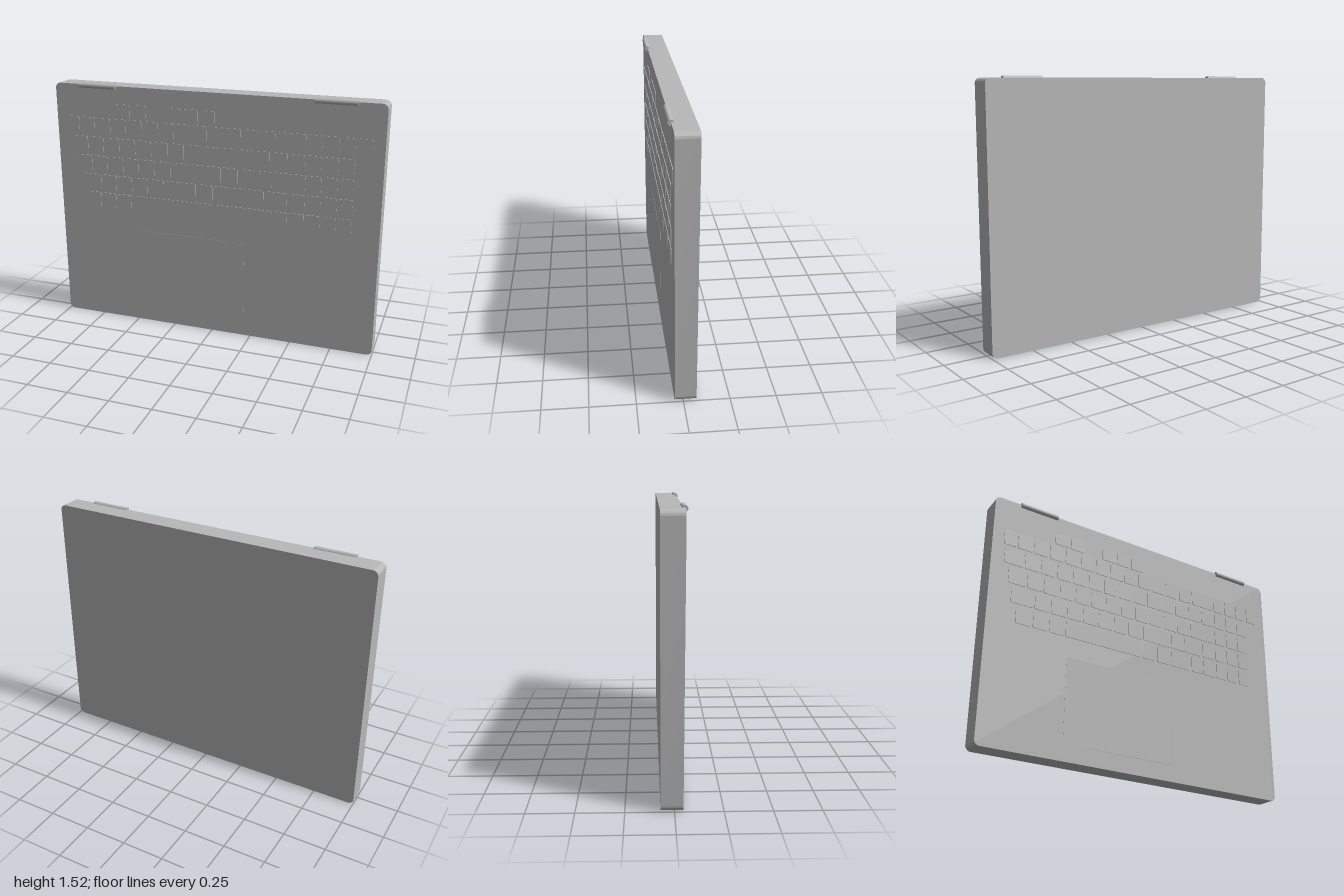
import * as THREE from 'three';
import { toCreasedNormals } from 'three/addons/utils/BufferGeometryUtils.js';

const metal = new THREE.MeshStandardMaterial({ color: 0xb8b8b8 });
metal.name = 'grey metal';

const TOP = 1.507, BACK = -0.07, FRONT_LOW = 0.045, FRONT_HIGH = 0.055;

function roundedRect(x0, y0, x1, y1, r) {
  const s = new THREE.Shape();
  s.absarc(x1 - r, y0 + r, r, -Math.PI / 2, 0);
  s.absarc(x1 - r, y1 - r, r, 0, Math.PI / 2);
  s.absarc(x0 + r, y1 - r, r, Math.PI / 2, Math.PI);
  s.absarc(x0 + r, y0 + r, r, Math.PI, Math.PI * 1.5);
  s.closePath();
  return s;
}

function slab(name, x0, y0, x1, y1, r, depth, segments) {
  const g = new THREE.ExtrudeGeometry(roundedRect(x0, y0, x1, y1, r),
    { depth, bevelEnabled: false, curveSegments: segments });
  const mesh = new THREE.Mesh(toCreasedNormals(g, 0.6), metal);
  mesh.name = name;
  return mesh;
}

// Evenly spaced key boundaries
const steps = (from, to, n) => Array.from({ length: n + 1 }, (_, i) => from + (to - from) * i / n);

export function createModel() {
  const model = new THREE.Group();
  model.name = 'laptopBase';

  // Body: rounded slab whose front face leans slightly forward at the top
  const body = slab('body', -1, 0, 1, TOP, 0.032, 1, 10);
  const p = body.geometry.attributes.position;
  for (let i = 0; i < p.count; i++) {
    const front = FRONT_LOW + (FRONT_HIGH - FRONT_LOW) * p.getY(i) / TOP;
    p.setZ(i, p.getZ(i) > 0.5 ? front : BACK);
  }
  body.geometry = toCreasedNormals(body.geometry, 0.6);
  model.add(body);

  // Deck: everything lying on the leaning front face
  const deck = new THREE.Group();
  deck.name = 'deck';
  deck.position.z = FRONT_LOW;
  deck.rotation.x = Math.atan((FRONT_HIGH - FRONT_LOW) / TOP);
  model.add(deck);

  // Keyboard: each run lists the boundaries between neighbouring keys
  const numpad = [0.568, 0.66, 0.753, 0.845];
  const rows = [
    { y0: 1.32, y1: 1.4, runs: [[-0.612, -0.508, -0.405], [-0.288, -0.184, -0.08, 0.024]] },
    { y0: 1.208, y1: 1.308, runs: [[-0.935, ...steps(-0.848, 0.39, 12), ...numpad, 0.94]] },
    { y0: 1.09, y1: 1.188, runs: [[-0.925, ...steps(-0.797, 0.568, 13), ...numpad.slice(1)]] },
    { y0: 0.97, y1: 1.07, runs: [[-0.893, ...steps(-0.775, 0.374, 11), ...numpad]] },
    { y0: 0.852, y1: 0.952, runs: [[-0.868, ...steps(-0.72, 0.324, 10), 0.465, ...numpad]] },
    { y0: 0.733, y1: 0.835, runs: [[-0.832, -0.725, -0.622, -0.518, 0.008, 0.112, 0.218, 0.374, 0.465, ...numpad]] },
  ];
  const keyboard = new THREE.Group();
  keyboard.name = 'keyboard';
  for (const { y0, y1, runs } of rows)
    for (const run of runs)
      for (let i = 0; i + 1 < run.length; i++) {
        const key = slab('key', run[i] + 0.005, y0, run[i + 1] - 0.005, y1, 0.01, 0.006, 3);
        key.position.z = -0.0025;
        keyboard.add(key);
      }
  deck.add(keyboard);

  // Touchpad, almost flush with the deck
  const pad = slab('touchpad', -0.5, 0.1, 0.205, 0.61, 0.008, 0.004, 4);
  pad.position.z = -0.003;
  deck.add(pad);

  // Hinge barrels along the top front edge
  for (const side of [-1, 1]) {
    const hinge = new THREE.Mesh(new THREE.CylinderGeometry(0.016, 0.016, 0.24, 24), metal);
    hinge.name = side > 0 ? 'leftHinge' : 'rightHinge';
    hinge.rotation.z = Math.PI / 2;
    hinge.position.set(side * 0.72, 1.502, 0.055);
    model.add(hinge);
  }
  return model;
}
